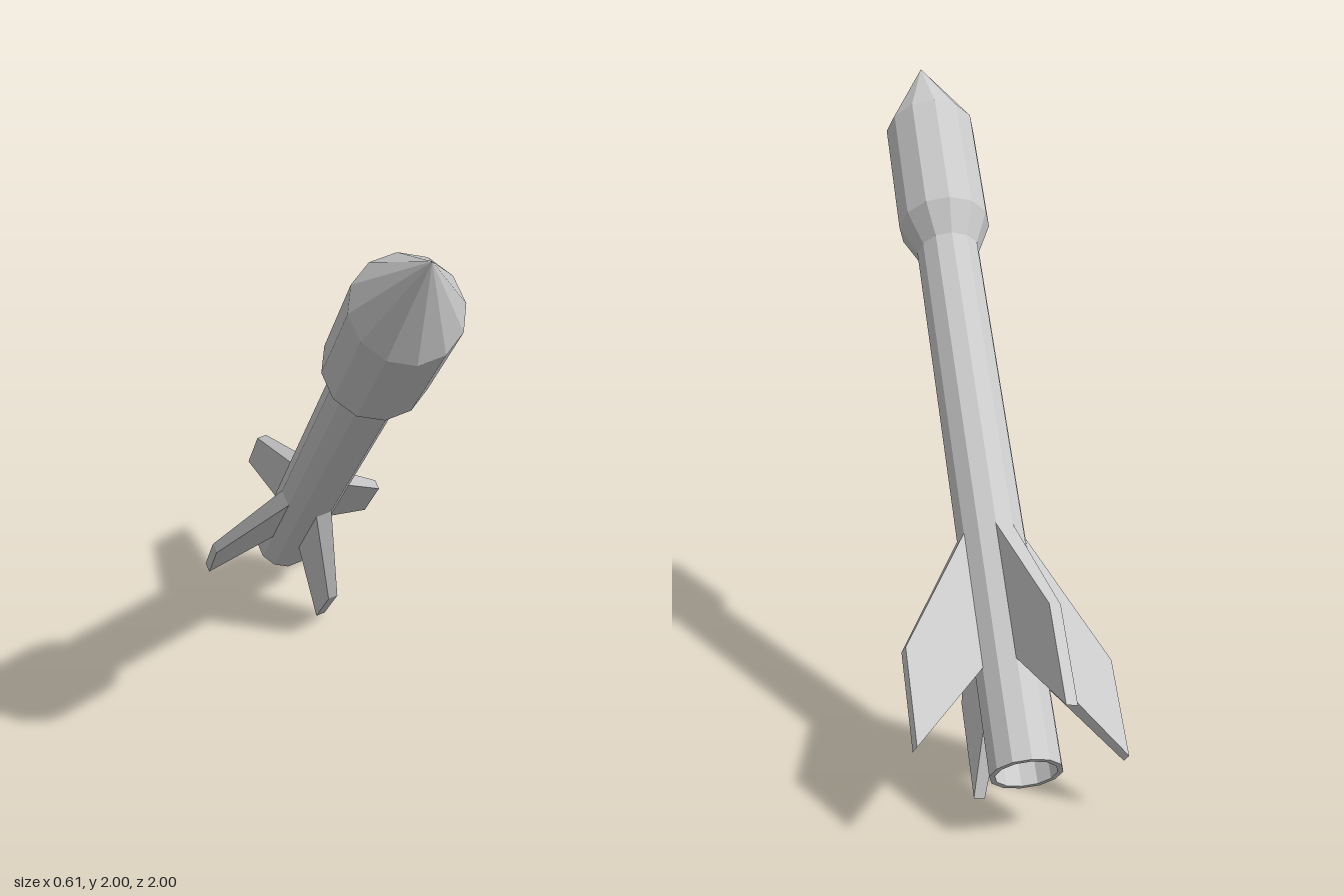
import * as THREE from 'three';

export function createModel() {
  const material = new THREE.MeshStandardMaterial({ color: 0xcccccc, flatShading: true });
  const model = new THREE.Group();
  model.name = 'rocket';

  // Twelve-sided turned part from [radius, height] pairs, bottom to top
  function turned(name, profile) {
    const points = profile.map(([r, y]) => new THREE.Vector2(r, y));
    const mesh = new THREE.Mesh(new THREE.LatheGeometry(points, 12), material);
    mesh.name = name;
    model.add(mesh);
  }

  // Tube with a hollow nozzle at the tail
  turned('bodyTube', [[0, -0.92], [0.085, -0.92], [0.085, -1.17], [0.1, -1.17], [0.1, 0.6]]);

  // Wider warhead: flare, barrel and pointed nose
  turned('warhead', [[0.1, 0.6], [0.147, 0.707], [0.147, 1.127], [0, 1.414]]);

  // Swept fin: a box reshaped into a tapering blade
  const finGeometry = new THREE.BoxGeometry(1, 1, 1);
  const p = finGeometry.attributes.position;
  for (let i = 0; i < p.count; i++) {
    const tip = p.getX(i) > 0;
    const leading = p.getY(i) > 0;
    p.setXYZ(
      i,
      tip ? 0.31 : 0.085,
      tip ? (leading ? -0.827 : -1.114) : (leading ? -0.441 : -0.868),
      p.getZ(i) * (tip ? 0.033 : 0.055)
    );
  }
  finGeometry.computeVertexNormals();

  // Four fins, each centred on a facet of the tube
  for (let k = 0; k < 4; k++) {
    const fin = new THREE.Mesh(finGeometry, material);
    fin.name = 'fin' + (k + 1);
    fin.rotation.y = Math.PI / 12 + (k * Math.PI) / 2;
    model.add(fin);
  }

  // Nose points up and forward
  model.rotation.x = Math.PI / 4;
  model.position.y = 1;

  const root = new THREE.Group();
  root.add(model);
  return root;
}
